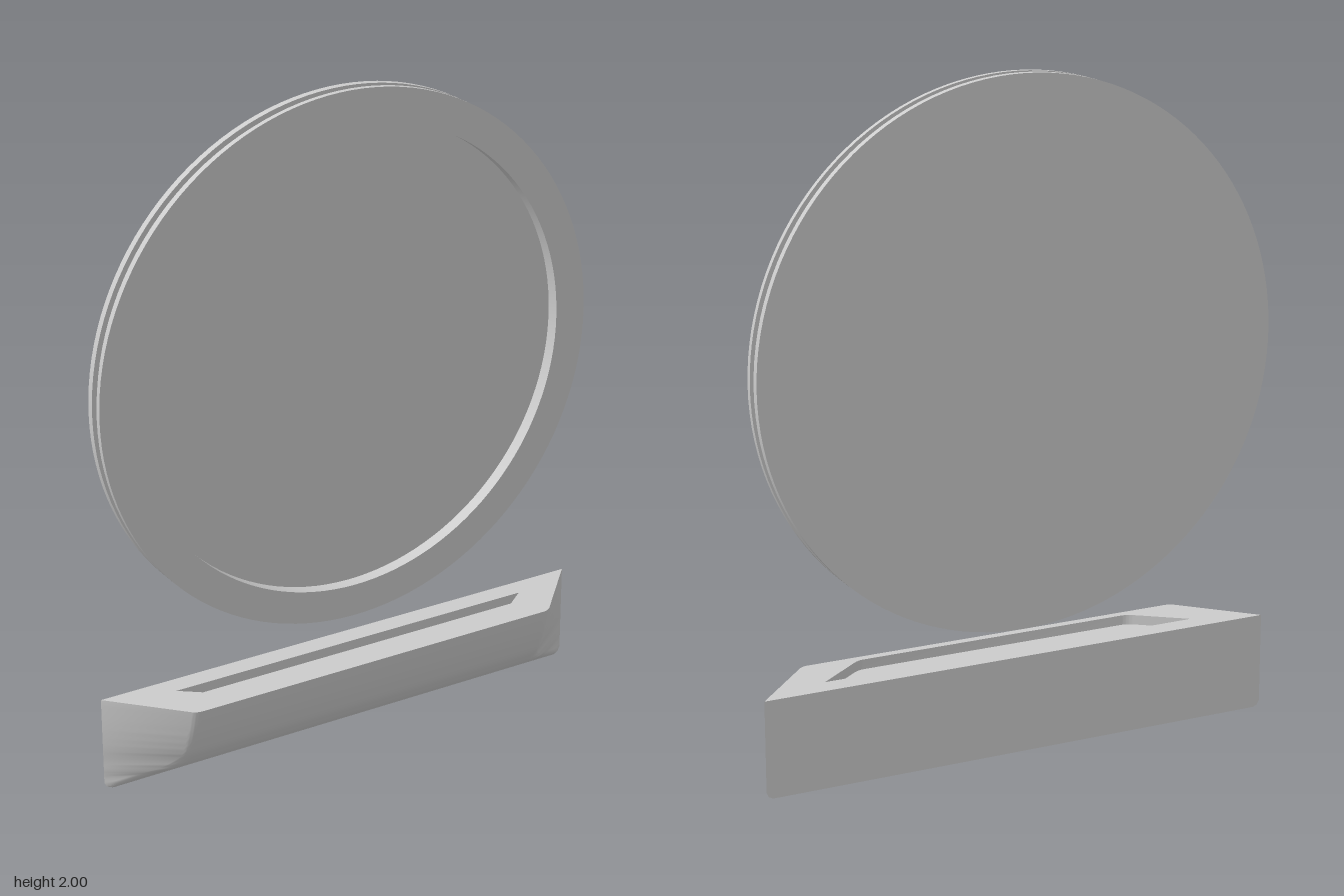
import * as THREE from 'three';
import { toCreasedNormals } from 'three/addons/utils/BufferGeometryUtils.js';

const BACK = -0.105, TOP = 0.295, CORNER_STEPS = 8;
const material = new THREE.MeshStandardMaterial({ color: 0xcccccc });

// Trapezoid outline at height y: wide at the back, narrower in front, rounded front corners
function outline(y, backHalf, back, frontHalf, front, round) {
  const b = new THREE.Vector2(backHalf, back), c = new THREE.Vector2(frontHalf, front);
  const side = b.clone().sub(c);
  const start = c.clone().addScaledVector(side.clone().normalize(), Math.min(round, side.length() * 0.8));
  const end = new THREE.Vector2(Math.max(0, frontHalf - round), front);
  const half = [b, ...new THREE.QuadraticBezierCurve(start, c, end).getPoints(CORNER_STEPS)];
  const mirrored = half.map(p => new THREE.Vector2(-p.x, p.y)).reverse();
  return [...half, ...mirrored].map(p => new THREE.Vector3(p.x, y, p.y));
}

// Skin between successive closed rings, with an optional cap under the first one
function loft(rings, cap) {
  const n = rings[0].length, index = [];
  for (let j = 0; j < rings.length - 1; j++) {
    for (let i = 0; i < n; i++) {
      const k = (i + 1) % n;
      const a = j * n + i, b = j * n + k, c = b + n, d = a + n;
      index.push(a, d, b, b, d, c);
    }
  }
  if (cap) for (let i = 1; i < n - 1; i++) index.push(0, i, i + 1);
  const g = new THREE.BufferGeometry().setFromPoints(rings.flat());
  g.setIndex(index);
  return toCreasedNormals(g, 0.6);
}

// Flat upward face bounded by a ring, with an optional hole
function flatFace(ring, hole) {
  const flat = r => r.map(p => new THREE.Vector2(p.x, -p.z));
  const shape = new THREE.Shape(flat(ring));
  if (hole) shape.holes.push(new THREE.Path(flat(hole)));
  return new THREE.ShapeGeometry(shape).rotateX(-Math.PI / 2).translate(0, ring[0].y, 0);
}

function addMesh(parent, name, geometry) {
  const mesh = new THREE.Mesh(geometry, material);
  mesh.name = name;
  parent.add(mesh);
}

export function createModel() {
  const model = new THREE.Group();
  model.name = 'discAndTray';

  // Disc: flanged rim with a groove around it and a shallow recess in front
  const profile = [
    [0, -0.105], [0.81, -0.105], [0.81, -0.083], [0.795, -0.083], [0.795, -0.055],
    [0.81, -0.055], [0.81, -0.038], [0.71, -0.038], [0.71, -0.078], [0, -0.078],
  ].map(([r, z]) => new THREE.Vector2(r, z));
  const disc = new THREE.LatheGeometry(profile, 128).rotateX(Math.PI / 2).translate(0, 1.19, 0);
  addMesh(model, 'disc', toCreasedNormals(disc, 0.6));

  // Tray body: [y, front z, half width at the back, half width in front, corner rounding]
  const tray = new THREE.Group();
  tray.name = 'tray';
  model.add(tray);
  const sections = new THREE.CatmullRomCurve3([
    [0.02, -0.075], [0.045, -0.04], [0.07, 0.0], [0.1, 0.028], [0.13, 0.05],
    [0.17, 0.068], [0.22, 0.086], [TOP, 0.106],
  ].map(([y, z]) => new THREE.Vector3(0, y, z))).getPoints(24);
  const rings = [
    outline(0, 0.79, BACK, 0.785, -0.1, 0.004),
    outline(0.006, 0.803, BACK, 0.79, -0.095, 0.008),
    ...sections.map(({ y, z }) => {
      const t = THREE.MathUtils.clamp((0.13 - y) / 0.115, 0, 1);
      return outline(y, 0.81, BACK, 0.61 + 0.17 * t ** 2.2, z, 0.02 + 0.03 * t);
    }),
  ];
  addMesh(tray, 'trayBody', loft(rings, true));

  // Tray top with a trapezoid pocket
  const pocket = y => outline(y, 0.6, -0.04, 0.445, 0.08, 0.02);
  const mouth = pocket(TOP), floor = pocket(TOP - 0.03);
  addMesh(tray, 'trayTop', flatFace(rings[rings.length - 1], mouth));
  addMesh(tray, 'pocketWalls', loft([mouth, floor], false));
  addMesh(tray, 'pocketFloor', flatFace(floor));

  return model;
}
